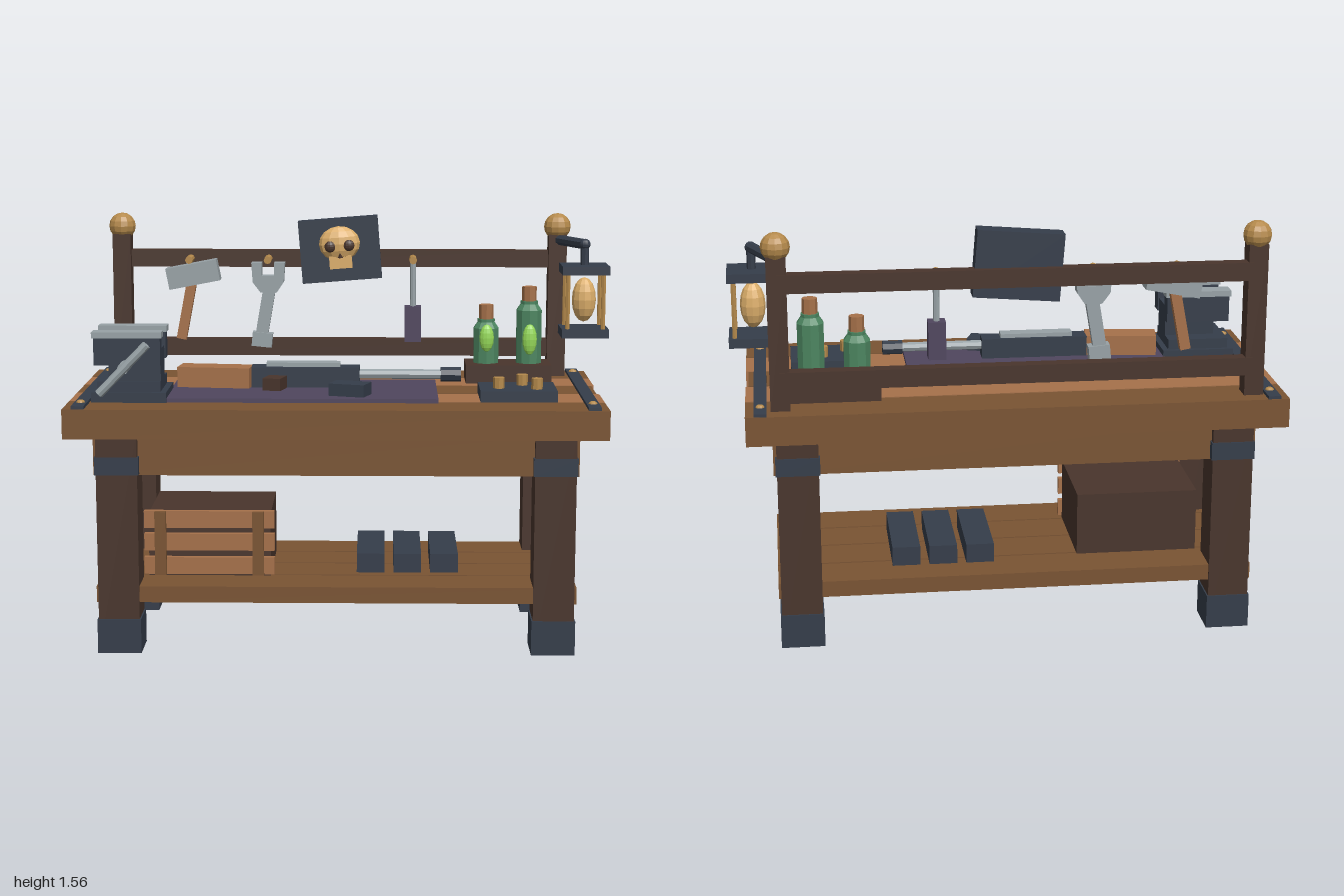
import * as THREE from 'three';

const mat = (name, color) => {
  const m = new THREE.MeshStandardMaterial({ color });
  m.name = name;
  return m;
};

export function createModel() {
  const darkWood = mat('dark wood', 0x49352c), wood = mat('wood', 0x7a5433), lightWood = mat('light wood', 0xa6714a);
  const iron = mat('iron', 0x353d4a), steel = mat('steel', 0x98a2a6), brass = mat('brass', 0xb58a4c);
  const bone = mat('bone', 0xdcae6a), purple = mat('purple cloth', 0x50465e);
  const glass = mat('green glass', 0x4c8560), glow = mat('glowing green', 0x94d858);

  const root = new THREE.Group();
  root.name = 'workbench';
  let parent = root;
  const group = (name) => {
    parent = new THREE.Group();
    parent.name = name;
    root.add(parent);
    return parent;
  };
  // Faceted mesh placed in the current group
  const add = (name, geo, m, x = 0, y = 0, z = 0, rx = 0, ry = 0, rz = 0) => {
    const g = geo.index ? geo.toNonIndexed() : geo;
    g.computeVertexNormals();
    const mesh = new THREE.Mesh(g, m);
    mesh.name = name;
    mesh.position.set(x, y, z);
    mesh.rotation.set(rx, ry, rz);
    parent.add(mesh);
    return mesh;
  };
  // Box given by its extents
  const span = (name, m, x0, x1, y0, y1, z0, z1) =>
    add(name, new THREE.BoxGeometry(x1 - x0, y1 - y0, z1 - z0), m, (x0 + x1) / 2, (y0 + y1) / 2, (z0 + z1) / 2);
  const box = (name, m, w, h, d, x, y, z, rx, ry, rz) =>
    add(name, new THREE.BoxGeometry(w, h, d), m, x, y, z, rx, ry, rz);
  const ball = (name, m, x, y, z, rx, ry = rx, rz = rx) =>
    add(name, new THREE.SphereGeometry(1, 12, 8).scale(rx, ry, rz), m, x, y, z);
  // Round bar between two points
  const rod = (name, m, a, b, r, sides = 8) => {
    const p = new THREE.Vector3(...a), q = new THREE.Vector3(...b);
    const mesh = add(name, new THREE.CylinderGeometry(r, r, p.distanceTo(q), sides), m);
    mesh.position.copy(p).add(q).multiplyScalar(0.5);
    mesh.quaternion.setFromUnitVectors(new THREE.Vector3(0, 1, 0), q.sub(p).normalize());
    return mesh;
  };

  // Table top planks, iron straps and rivets
  group('tableTop');
  for (let i = 0; i < 5; i++) {
    const z = 0.38 - i * 0.19;
    span('topPlank', i % 2 ? lightWood : wood, -1, i === 2 ? 0.935 : 0.945, 0.818, 0.925, z - 0.091, z + 0.091);
  }
  for (const x of [-0.945, 0.892]) {
    span('strap', iron, x - 0.023, x + 0.023, 0.92, 0.936, -0.468, 0.462);
    for (const z of [-0.385, 0.375]) ball('rivet', brass, x, 0.936, z, 0.016, 0.01, 0.016);
  }

  // Legs with feet and collars, aprons, lower shelf
  group('frame');
  for (const z of [-0.293, 0.293]) {
    for (const x of [-0.823, 0.766]) {
      box('leg', darkWood, 0.15, 0.82, 0.15, x, 0.41, z);
      box('foot', iron, 0.16, 0.128, 0.16, x, 0.064, z);
      box('collar', iron, 0.16, 0.066, 0.16, x, 0.7, z);
    }
    const s = Math.sign(z) * 0.313;
    span('apron', wood, -0.91, 0.853, 0.662, 0.82, s - 0.028, s + 0.028);
  }
  for (let i = 0; i < 4; i++) {
    const z = 0.273 - i * 0.182;
    span('shelfPlank', wood, -0.905, 0.85, 0.19, 0.25, z - 0.086, z + 0.086);
  }

  // Crate and metal bars on the shelf
  group('crate');
  span('crateBox', darkWood, -0.73, -0.275, 0.25, 0.487, -0.195, 0.193);
  for (const y of [0.292, 0.382, 0.468]) span('crateSlat', lightWood, -0.745, -0.26, y - 0.032, y + 0.032, 0.193, 0.215);
  for (const x of [-0.683, -0.32]) span('crateUpright', wood, x - 0.021, x + 0.021, 0.26, 0.5, 0.21, 0.235);
  group('metalBars');
  for (const x of [0.097, 0.235, 0.373]) span('metalBar', iron, x - 0.052, x + 0.052, 0.25, 0.322, -0.235, 0.14);

  // Back rack
  group('rack');
  for (const x of [-0.88, 0.82]) {
    span('rackPost', darkWood, x - 0.035, x + 0.035, 0.92, 1.48, -0.41, -0.335);
    ball('finial', brass, x, 1.51, -0.375, 0.052);
  }
  for (const y of [1.034, 1.384]) span('rackRail', darkWood, -0.88, 0.82, y - 0.033, y + 0.033, -0.415, -0.365);
  for (const x of [-0.612, -0.307, 0.257]) rod('peg', brass, [x, 1.385, -0.38], [x, 1.385, -0.275], 0.015);

  // Skull sign
  const sign = group('skullSign');
  sign.position.set(-0.027, 1.422, -0.352);
  sign.rotation.z = 0.078;
  box('signBoard', iron, 0.31, 0.242, 0.075, 0, 0, 0);
  ball('cranium', bone, 0, 0.025, 0.04, 0.08, 0.068, 0.04);
  box('jaw', bone, 0.088, 0.05, 0.04, 0, -0.045, 0.045);
  for (const s of [-1, 1]) ball('eye', darkWood, s * 0.036, 0.018, 0.072, 0.022, 0.022, 0.012);
  add('nose', new THREE.ConeGeometry(0.012, 0.02, 3), darkWood, 0, -0.018, 0.074);

  // Hanging hammer, wrench and screwdriver
  group('hammer');
  box('hammerHead', steel, 0.2, 0.082, 0.075, -0.597, 1.33, -0.297, 0, 0, 0.19);
  box('hammerHandle', lightWood, 0.038, 0.25, 0.038, -0.622, 1.2, -0.297, 0, 0, -0.19);
  group('wrench');
  const jawShape = new THREE.Shape([[-0.37, 1.375], [-0.33, 1.375], [-0.33, 1.325], [-0.282, 1.325], [-0.282, 1.375],
    [-0.24, 1.375], [-0.245, 1.3], [-0.272, 1.26], [-0.335, 1.26], [-0.365, 1.3]].map((p) => new THREE.Vector2(...p)));
  add('wrenchJaw', new THREE.ExtrudeGeometry(jawShape, { depth: 0.055, bevelEnabled: false }), steel, 0, 0, -0.325);
  box('wrenchShaft', steel, 0.048, 0.21, 0.035, -0.317, 1.18, -0.297, 0, 0, -0.17);
  box('wrenchEnd', steel, 0.078, 0.055, 0.05, -0.33, 1.075, -0.297, 0, 0, -0.1);
  group('screwdriver');
  rod('screwdriverShaft', steel, [0.257, 1.2, -0.29], [0.257, 1.38, -0.29], 0.012);
  box('screwdriverHandle', purple, 0.064, 0.138, 0.06, 0.257, 1.138, -0.29);

  // Bottles on a tray
  group('bottles');
  span('bottleTray', darkWood, 0.46, 0.788, 0.925, 0.995, -0.325, -0.15);
  for (const [x, top, gy, gr] of [[0.54, 1.165, 1.095, 0.053], [0.705, 1.235, 1.09, 0.06]]) {
    const profile = [[0, 0.995], [0.05, 0.995], [0.05, top - 0.035], [0.034, top - 0.012], [0.034, top], [0, top]];
    add('bottle', new THREE.LatheGeometry(profile.map((p) => new THREE.Vector2(...p)), 10), glass, x, 0, -0.237);
    rod('cork', lightWood, [x, top - 0.01, -0.237], [x, top + 0.055, -0.237], 0.028);
    ball('bottleGlow', glow, x, gy, -0.19, 0.028, gr, 0.018);
  }

  // Lantern on a bracket
  group('lantern');
  const lx = 0.906, lz = -0.152;
  rod('bracketArm', iron, [0.82, 1.46, -0.36], [lx, 1.46, lz], 0.02);
  ball('bracketElbow', iron, lx, 1.46, lz, 0.021);
  rod('bracketDrop', iron, [lx, 1.46, lz], [lx, 1.37, lz], 0.016);
  for (const y of [1.366, 1.128]) box('lanternPlate', iron, 0.178, 0.033, 0.172, lx, y, lz);
  for (const sx of [-1, 1]) for (const sz of [-1, 1]) {
    const x = lx + sx * 0.067, z = lz + sz * 0.065;
    rod('lanternRod', brass, [x, 1.13, z], [x, 1.365, z], 0.009, 6);
  }
  ball('lanternFlame', bone, lx, 1.25, lz, 0.046, 0.085, 0.046);

  // Vise
  group('vise');
  span('viseBase', iron, -0.915, -0.643, 0.925, 0.962, 0.07, 0.32);
  span('viseFoot', iron, -0.895, -0.665, 0.96, 1.0, 0.085, 0.305);
  span('viseBody', iron, -0.855, -0.665, 1.0, 1.115, 0.155, 0.285);
  for (const z of [0.127, 0.313]) {
    span('viseJaw', iron, -0.9, -0.66, 1.065, 1.165, z - 0.03, z + 0.03);
    span('viseJawCap', steel, -0.907, -0.655, 1.163, 1.185, z - 0.033, z + 0.033);
  }
  rod('viseScrew', steel, [-0.783, 1.066, 0.28], [-0.783, 1.066, 0.45], 0.02);
  rod('viseHandle', steel, [-0.868, 0.978, 0.452], [-0.695, 1.155, 0.452], 0.016);

  // Work mat and disassembled rifle
  group('rifle');
  span('mat', purple, -0.648, 0.342, 0.923, 0.94, -0.148, 0.312);
  box('stock', lightWood, 0.27, 0.075, 0.1, -0.48, 0.992, 0.108, 0, -0.12, 0);
  span('receiver', iron, -0.345, 0.055, 0.955, 1.03, 0.067, 0.147);
  span('receiverPlate', steel, -0.29, -0.017, 1.028, 1.045, 0.078, 0.132);
  rod('barrel', steel, [0.05, 1.0, 0.105], [0.37, 1.0, 0.105], 0.018);
  rod('muzzle', iron, [0.355, 1.0, 0.105], [0.43, 1.0, 0.105], 0.027);
  box('grip', darkWood, 0.068, 0.045, 0.085, -0.257, 0.978, 0.188, 0, -0.25, 0);
  box('magazine', iron, 0.135, 0.045, 0.09, 0.021, 0.967, 0.247, 0, -0.32, 0);

  // Parts plate with brass studs
  group('partsPlate');
  span('plate', iron, 0.495, 0.775, 0.923, 0.965, 0.065, 0.288);
  for (const [x, z] of [[0.565, 0.208], [0.655, 0.135], [0.703, 0.226]]) rod('stud', brass, [x, 0.96, z], [x, 1.005, z], 0.021);

  return root;
}
